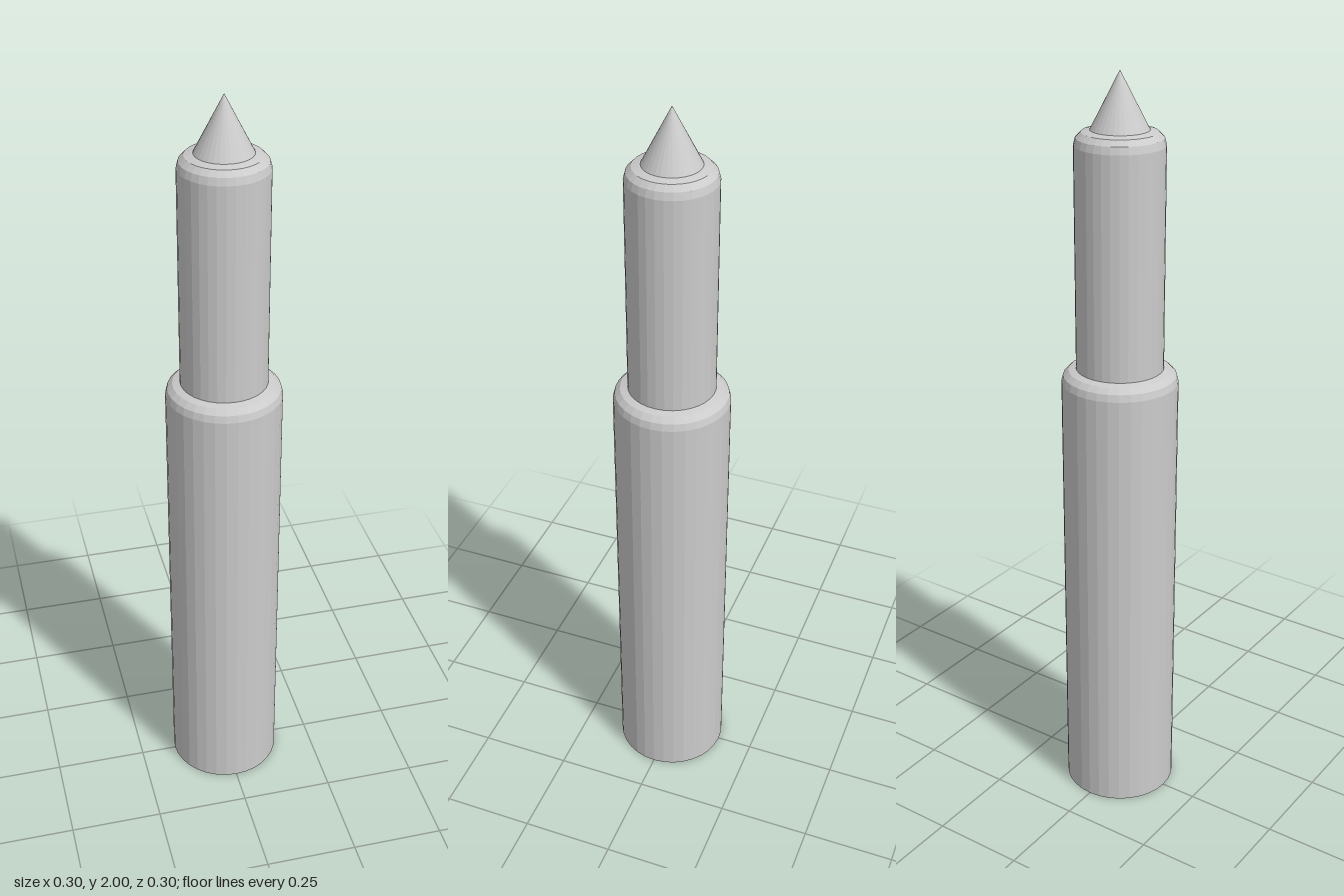
import * as THREE from 'three';

const SIDES = 32;
const material = new THREE.MeshStandardMaterial({ color: 0xcccccc, flatShading: true });

// Closed cylinder standing on y = bottom, with a filleted top edge
function filletedCylinder(name, radius, bottom, top, fillet) {
  const profile = [new THREE.Vector2(0, bottom), new THREE.Vector2(radius, bottom)];
  const steps = 3;
  for (let i = 0; i <= steps; i++) {
    const a = (i / steps) * Math.PI / 2;
    profile.push(new THREE.Vector2(
      radius - fillet + fillet * Math.cos(a),
      top - fillet + fillet * Math.sin(a)
    ));
  }
  profile.push(new THREE.Vector2(0, top));
  const mesh = new THREE.Mesh(new THREE.LatheGeometry(profile, SIDES), material);
  mesh.name = name;
  return mesh;
}

export function createModel() {
  const group = new THREE.Group();
  group.name = 'steppedPin';

  // Wide lower shaft and narrower upper shaft
  group.add(filletedCylinder('lowerShaft', 0.151, 0, 1.252, 0.037));
  group.add(filletedCylinder('upperShaft', 0.113, 1.252, 1.86, 0.037));

  // Pointed tip
  const tipHeight = 0.14;
  const tip = new THREE.Mesh(new THREE.ConeGeometry(0.073, tipHeight, SIDES), material);
  tip.name = 'tip';
  tip.position.y = 2 - tipHeight / 2;
  group.add(tip);

  return group;
}
